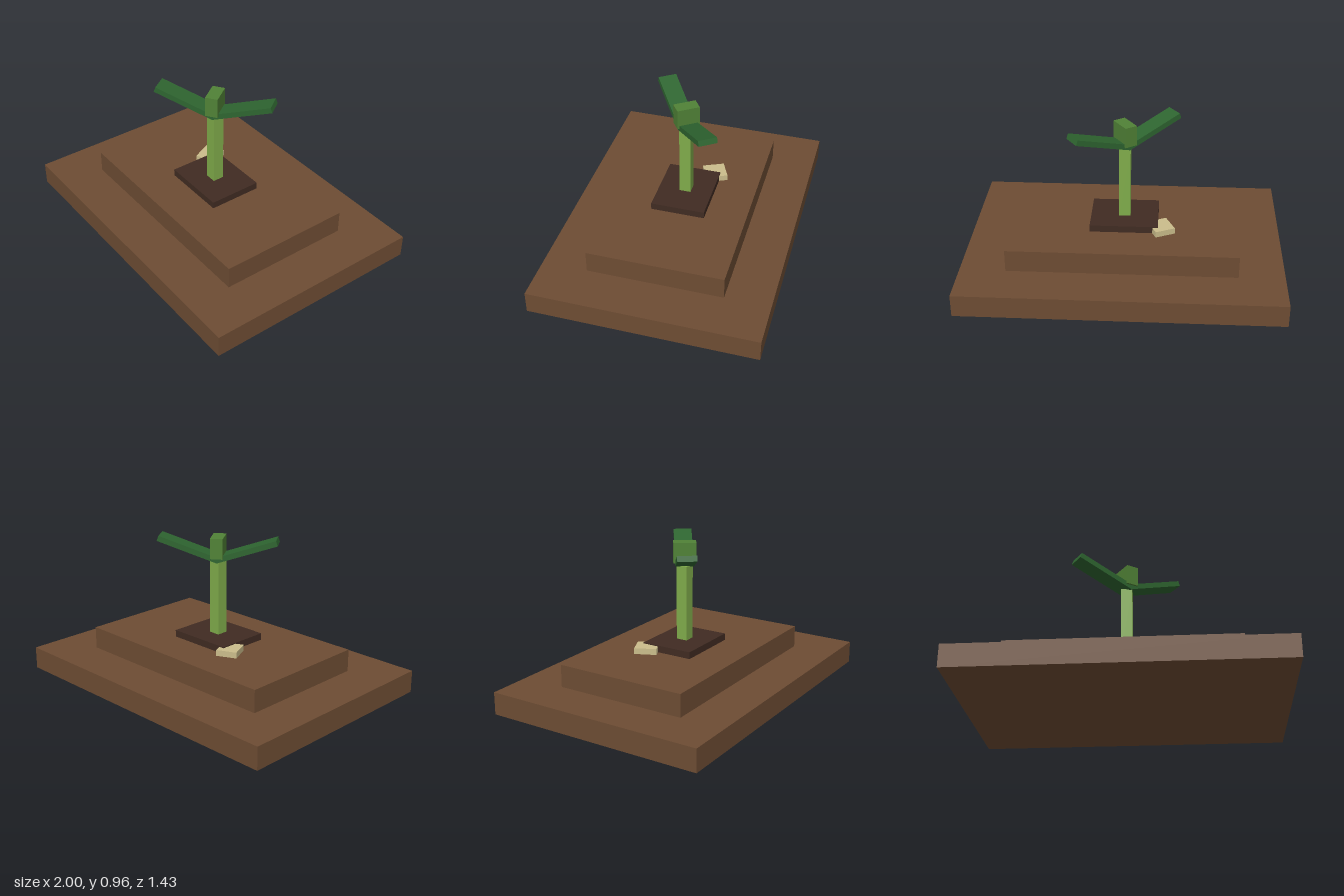
import * as THREE from 'three';

const material = (name, color) => {
  const m = new THREE.MeshStandardMaterial({ color });
  m.name = name;
  return m;
};

export function createModel() {
  const soil = material('soil brown', 0x6d4c33);
  const darkSoil = material('dark soil', 0x402b22);
  const stemGreen = material('stem green', 0x7fab4a);
  const leafGreen = material('leaf green', 0x2e6530);
  const budGreen = material('bud green', 0x508236);
  const tan = material('seed tan', 0xcbbd8b);

  const model = new THREE.Group();
  model.name = 'sprout';

  // Box standing on height y
  const block = (name, mat, [w, h, d], [x, y, z], parent = model) => {
    const mesh = new THREE.Mesh(new THREE.BoxGeometry(w, h, d).translate(0, h / 2, 0), mat);
    mesh.name = name;
    mesh.position.set(x, y, z);
    parent.add(mesh);
    return mesh;
  };

  // Stepped mound
  block('lowerSoil', soil, [2, 0.143, 1.428], [0, 0, 0]);
  block('upperSoil', soil, [1.428, 0.143, 0.857], [0, 0.143, 0]);
  block('plantingPatch', darkSoil, [0.428, 0.044, 0.343], [0, 0.286, 0]);

  // Seed husk lying beside the patch
  block('seedHusk', tan, [0.13, 0.038, 0.14], [-0.232, 0.286, -0.131]).rotation.y = 0.43;

  // Stem
  block('stem', stemGreen, [0.073, 0.48, 0.073], [0, 0.33, 0]);

  // Crown: two raised leaves and a bud, turned together
  const crown = new THREE.Group();
  crown.name = 'crown';
  crown.position.y = 0.8;
  crown.rotation.y = 0.61;
  model.add(crown);

  const length = 0.397;
  for (const side of [1, -1]) {
    const leaf = block(side > 0 ? 'leftLeaf' : 'rightLeaf', leafGreen, [length, 0.035, 0.117], [0, 0, 0], crown);
    leaf.geometry.translate((side * length) / 2, 0, 0);
    leaf.rotation.z = side * 0.325;
  }
  block('bud', budGreen, [0.08, 0.13, 0.143], [0, 0.03, 0], crown);

  return model;
}
